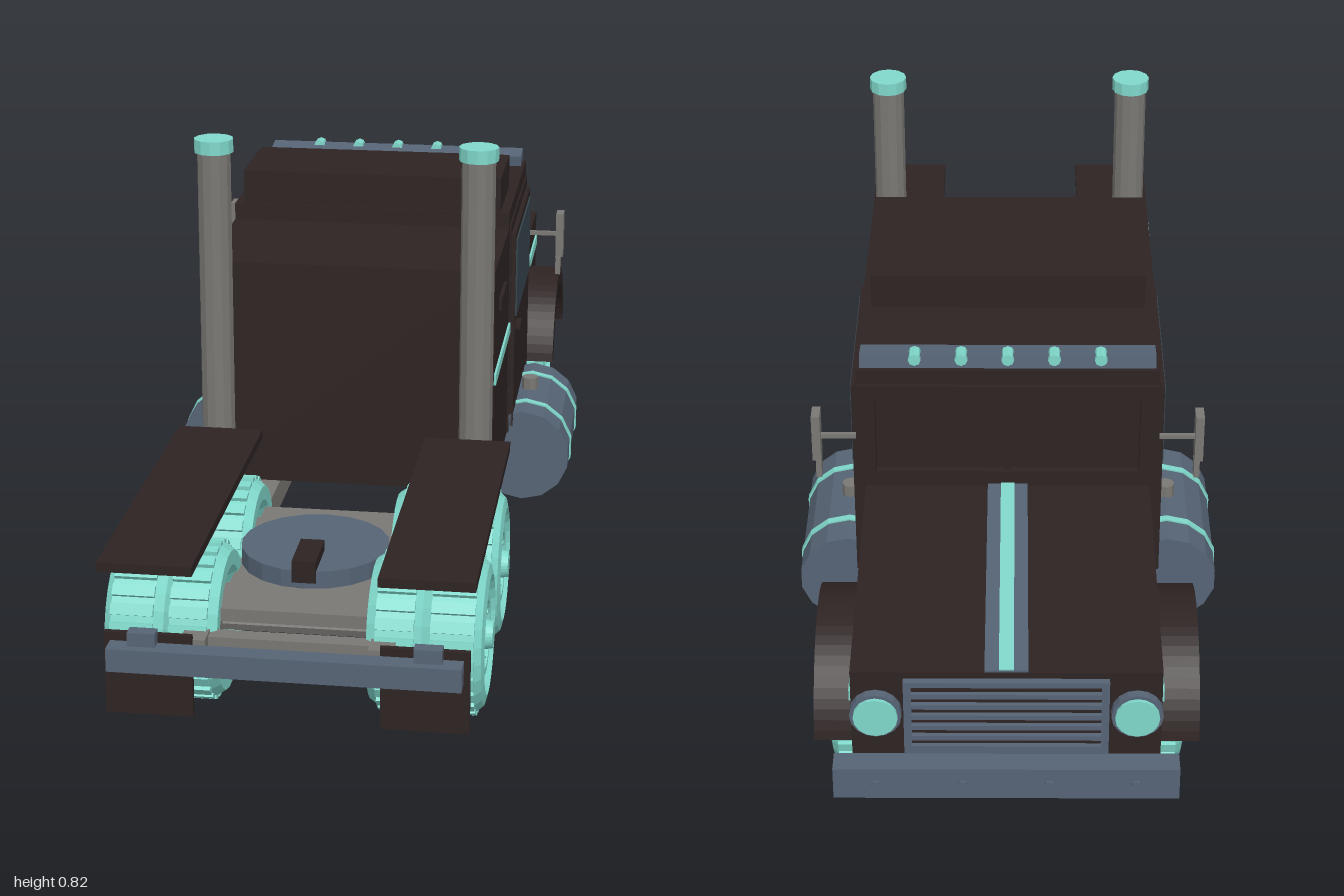
import * as THREE from 'three';

const mat = (name, color) => {
  const m = new THREE.MeshStandardMaterial({ color, flatShading: true });
  m.name = name;
  return m;
};

export function createModel() {
  const truck = new THREE.Group();
  truck.name = 'truck';
  const body = mat('dark paint', 0x2e2323);
  const teal = mat('teal', 0x80d8cb);
  const steel = mat('blue steel', 0x566475);
  const grey = mat('grey metal', 0x7a7874);
  const glass = mat('dark glass', 0x36444c);

  const add = (name, geo, m, parent = truck) => {
    const mesh = new THREE.Mesh(geo, m);
    mesh.name = name;
    parent.add(mesh);
    return mesh;
  };
  // box given by its min and max on each axis
  const box = (name, m, x0, x1, y0, y1, z0, z1, parent) => {
    const b = add(name, new THREE.BoxGeometry(Math.abs(x1 - x0), y1 - y0, z1 - z0), m, parent);
    b.position.set((x0 + x1) / 2, (y0 + y1) / 2, (z0 + z1) / 2);
    return b;
  };
  // cylinder along a chosen axis
  const cyl = (name, m, r, len, axis, x, y, z, sides = 12, parent) => {
    const g = new THREE.CylinderGeometry(r, r, len, sides);
    if (axis === 'x') g.rotateZ(Math.PI / 2);
    if (axis === 'z') g.rotateX(Math.PI / 2);
    const c = add(name, g, m, parent);
    c.position.set(x, y, z);
    return c;
  };
  // side profile drawn in (z, y), extruded between two x values
  const profile = (name, m, shape, x0, x1) => {
    const g = new THREE.ExtrudeGeometry(shape, { depth: x1 - x0, bevelEnabled: false, curveSegments: 14 });
    g.rotateY(-Math.PI / 2).translate(x1, 0, 0);
    return add(name, g, m);
  };

  // chassis
  for (const s of [-1, 1]) box('frameRail', grey, s * 0.13, s * 0.17, 0.12, 0.17, -0.92, 0.96);
  for (const z of [-0.85, -0.4, 0.1, 0.4, 0.92]) box('crossMember', grey, -0.14, 0.14, 0.125, 0.165, z - 0.015, z + 0.015);
  for (const z of [-0.69, 0.51, 0.8]) cyl('axle', grey, 0.018, 0.46, 'x', 0, 0.135, z, 8);
  box('rearDeckPlate', grey, -0.125, 0.125, 0.168, 0.19, 0.44, 0.88);
  cyl('fifthWheel', steel, 0.125, 0.03, 'y', 0, 0.205, 0.66, 20);
  box('couplingJaw', body, -0.02, 0.02, 0.2, 0.238, 0.69, 0.785);

  // wheels: lathed tyre, hub rings, tread lugs and bolts
  const R = 0.125, wy = 0.135;
  const wheel = (side, z, inner, outer) => {
    const g = new THREE.Group();
    g.name = 'wheel';
    const w = outer - inner, h = w / 2;
    const pts = [[0, -h + 0.02], [0.075, -h + 0.02], [0.09, -h], [0.115, -h], [R, -h + 0.015],
      [R, h - 0.015], [0.115, h - 0.004], [0.098, h], [0.088, h - 0.012], [0.07, h - 0.015],
      [0.065, h - 0.005], [0.055, h - 0.005], [0.05, h - 0.016], [0.026, h - 0.016], [0.022, h + 0.006], [0, h + 0.006]];
    const tyre = new THREE.LatheGeometry(pts.map(p => new THREE.Vector2(...p)), 26);
    tyre.rotateZ(-Math.PI / 2);
    add('tyreAndRim', tyre, teal, g);
    for (let i = 0; i < 26; i++) {
      const a = (i + 0.5) / 26 * Math.PI * 2;
      const lug = add('treadLug', new THREE.BoxGeometry(w - 0.03, 0.012, 0.019), teal, g);
      lug.position.set(0, Math.cos(a) * R, Math.sin(a) * R);
      lug.rotation.x = a;
    }
    for (let i = 0; i < 8; i++) {
      const a = i / 8 * Math.PI * 2;
      cyl('wheelBolt', teal, 0.004, 0.012, 'x', h - 0.012, Math.cos(a) * 0.038, Math.sin(a) * 0.038, 6, g);
    }
    g.position.set(side * (inner + outer) / 2, wy, z);
    if (side < 0) g.rotation.y = Math.PI;
    truck.add(g);
  };
  for (const s of [-1, 1]) {
    wheel(s, -0.69, 0.195, 0.3);
    for (const z of [0.51, 0.8]) {
      wheel(s, z, 0.12, 0.212);
      wheel(s, z, 0.208, 0.308);
    }
  }

  // bonnet with wheel arches cut out
  const a0 = Math.asin(0.035 / 0.148), cut = 0.148 * Math.cos(a0);
  const hood = new THREE.Shape();
  hood.moveTo(-0.44, 0.17);
  hood.lineTo(-0.44, 0.385);
  hood.lineTo(-0.95, 0.372);
  hood.lineTo(-0.95, 0.17);
  hood.lineTo(-0.69 - cut, 0.17);
  hood.absarc(-0.69, wy, 0.148, Math.PI - a0, a0, true);
  hood.closePath();
  profile('bonnet', body, hood, -0.25, 0.25);
  box('engineBay', body, -0.185, 0.185, 0.17, 0.36, -0.94, -0.44);
  const tilt = Math.atan2(0.013, 0.51);
  for (const [name, m, w, y] of [['bonnetBand', steel, 0.07, 0.3795], ['bonnetStripe', teal, 0.024, 0.382]]) {
    const b = add(name, new THREE.BoxGeometry(w, 0.006, 0.51), m);
    b.position.set(0, y, -0.695);
    b.rotation.x = -tilt;
  }

  // front fenders
  const arch = new THREE.Shape();
  arch.absarc(-0.69, wy, 0.178, 0.15, Math.PI - 0.15, false);
  arch.absarc(-0.69, wy, 0.143, Math.PI - 0.15, 0.15, true);
  arch.closePath();
  profile('leftFender', body, arch, 0.24, 0.32);
  profile('rightFender', body, arch, -0.32, -0.24);

  // nose: grille, headlights, bumper
  box('grilleFrame', steel, -0.165, 0.165, 0.215, 0.36, -0.962, -0.945);
  box('grilleRecess', body, -0.152, 0.152, 0.225, 0.35, -0.965, -0.95);
  for (let i = 0; i < 6; i++) box('grilleBar', steel, -0.152, 0.152, 0.231 + i * 0.021, 0.24 + i * 0.021, -0.973, -0.96);
  for (const s of [-1, 1]) {
    cyl('headlightRing', steel, 0.042, 0.02, 'z', s * 0.21, 0.295, -0.955, 16);
    cyl('headlight', teal, 0.036, 0.026, 'z', s * 0.21, 0.295, -0.958, 16);
  }
  box('frontBumper', steel, -0.28, 0.28, 0.15, 0.21, -0.995, -0.955);
  for (const x of [-0.21, -0.07, 0.07, 0.21]) cyl('bumperBolt', steel, 0.008, 0.01, 'z', x, 0.18, -0.995, 8);

  // cab, sleeper and roof
  box('cab', body, -0.265, 0.265, 0.17, 0.59, -0.43, -0.05);
  box('cabRoof', body, -0.262, 0.262, 0.585, 0.618, -0.435, -0.025);
  box('sleeper', body, -0.262, 0.262, 0.17, 0.587, -0.05, 0.262);
  box('roofFairing', body, -0.245, 0.245, 0.615, 0.682, -0.22, -0.03);
  const frame = new THREE.Shape([[-0.262, 0.385], [0.262, 0.385], [0.262, 0.59], [-0.262, 0.59]].map(p => new THREE.Vector2(...p)));
  frame.holes.push(new THREE.Path([[-0.23, 0.415], [-0.23, 0.56], [0.23, 0.56], [0.23, 0.415]].map(p => new THREE.Vector2(...p))));
  const screen = new THREE.ExtrudeGeometry(frame, { depth: 0.015, bevelEnabled: false });
  add('windscreenFrame', screen, body).position.z = -0.443;
  box('windscreenDivider', body, -0.006, 0.006, 0.41, 0.565, -0.438, -0.425);
  box('sunVisor', steel, -0.255, 0.255, 0.618, 0.642, -0.432, -0.385).rotation.x = 0.15;
  for (let i = -2; i <= 2; i++) cyl('roofLight', teal, 0.011, 0.03, 'z', i * 0.08, 0.641, -0.425, 8);

  for (const s of [-1, 1]) {
    // doors, windows and trim
    box('door', body, s * 0.26, s * 0.273, 0.18, 0.57, -0.41, -0.06);
    box('sideWindow', glass, s * 0.27, s * 0.276, 0.402, 0.555, -0.388, -0.068);
    box('doorHandle', body, s * 0.27, s * 0.283, 0.373, 0.385, -0.11, -0.075);
    box('sleeperStripe', teal, s * 0.26, s * 0.266, 0.374, 0.394, -0.05, 0.262);
    box('sleeperVent', body, s * 0.26, s * 0.268, 0.49, 0.512, 0.07, 0.18);
    box('bonnetSideStripe', teal, s * 0.248, s * 0.254, 0.302, 0.325, -0.935, -0.445);
    // mirrors
    box('mirrorArm', grey, s * 0.262, s * 0.33, 0.468, 0.476, -0.42, -0.412);
    box('mirror', grey, s * 0.328, s * 0.343, 0.428, 0.518, -0.43, -0.395);
    box('lowerMirror', grey, s * 0.328, s * 0.338, 0.39, 0.425, -0.425, -0.4);
    // fuel tanks
    cyl('fuelTank', steel, 0.09, 0.3, 'z', s * 0.293, 0.12, -0.21, 14);
    for (const z of [-0.125, -0.295]) cyl('tankBand', teal, 0.093, 0.014, 'z', s * 0.293, 0.12, z, 14);
    cyl('fuelCap', grey, 0.016, 0.03, 'y', s * 0.295, 0.217, -0.21, 8);
    // exhaust stacks
    cyl('exhaustStack', grey, 0.03, 0.64, 'y', s * 0.234, 0.485, 0.305, 12);
    cyl('exhaustTip', teal, 0.035, 0.024, 'y', s * 0.234, 0.813, 0.305, 12);
    // rear fenders, mud flaps and bumper mounts
    box('rearFenderPlate', body, s * 0.147, s * 0.3, 0.282, 0.298, 0.342, 0.97);
    box('mudFlap', body, s * 0.15, s * 0.292, 0.038, 0.178, 0.956, 0.966);
    box('bumperMount', steel, s * 0.205, s * 0.25, 0.16, 0.187, 0.962, 0.985);
  }
  box('rearBumper', steel, -0.282, 0.282, 0.125, 0.164, 0.966, 1.0);

  return truck;
}
